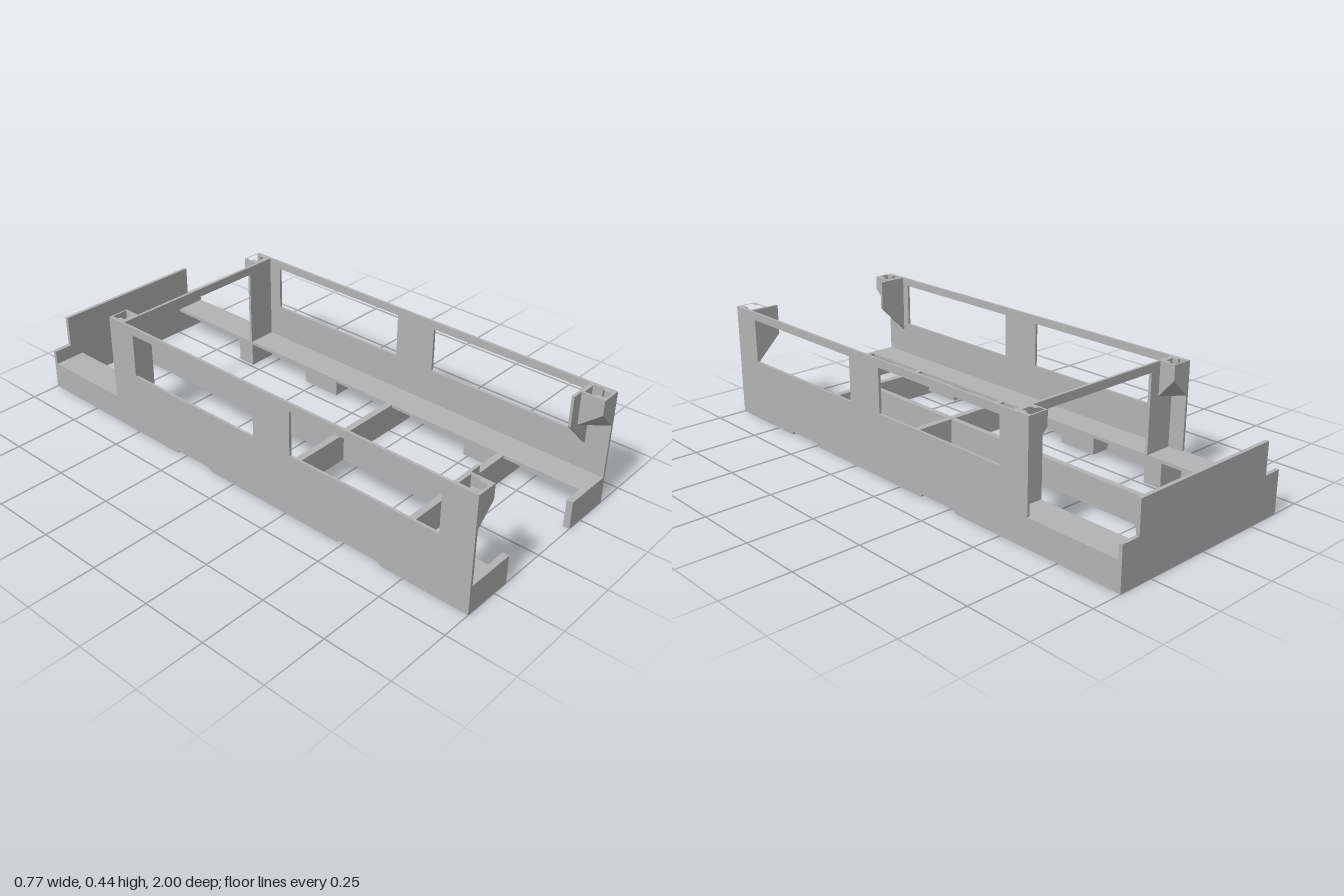
import * as THREE from 'three';
import { ConvexGeometry } from 'three/addons/geometries/ConvexGeometry.js';

const W = 0.385, T = 0.01, DECK = 0.107, TOP = 0.44, INNER = 0.262;

export function createModel() {
  const model = new THREE.Group();
  model.name = 'openFrameBody';
  const grey = new THREE.MeshStandardMaterial({ color: 0xb4b4b4, flatShading: true });
  grey.name = 'plain grey';

  const add = (name, geo) => {
    const m = new THREE.Mesh(geo, grey);
    m.name = name;
    model.add(m);
    return m;
  };
  const box = (name, x0, x1, y0, y1, z0, z1) => {
    const m = add(name, new THREE.BoxGeometry(Math.abs(x1 - x0), y1 - y0, Math.abs(z1 - z0)));
    m.position.set((x0 + x1) / 2, (y0 + y1) / 2, (z0 + z1) / 2);
    return m;
  };
  const poly = (pts, Type = THREE.Shape) => new Type(pts.map(p => new THREE.Vector2(...p)));
  const rect = (a, b, c, d) => [[a, c], [b, c], [b, d], [a, d]];
  const extrude = (shape, depth) =>
    new THREE.ExtrudeGeometry(shape, { depth, bevelEnabled: false, curveSegments: 10 });
  // slab lying flat, drawn in x and -z, rising from y0 to y1
  const slab = (name, shape, y0, y1) =>
    add(name, extrude(shape, y1 - y0).rotateX(-Math.PI / 2).translate(0, y0, 0));

  // side wall outline drawn in -z and y, with shallow notches above the mounting pads
  const padZ = [0.57, -0.2];
  const outline = [[-1, 0]];
  for (const z of padZ) outline.push([-z - 0.09, 0], [-z - 0.08, 0.012], [-z + 0.08, 0.012], [-z + 0.09, 0]);
  outline.push([1, 0], [1, DECK], [0.62, DECK], [0.62, TOP], [-1, TOP]);
  const wall = poly(outline);
  wall.holes.push(poly(rect(-0.875, -0.27, 0.24, 0.41), THREE.Path));
  wall.holes.push(poly(rect(-0.105, 0.495, 0.24, 0.41), THREE.Path));

  // corner socket: slotted top over a block with its free lower corner cut away
  const socket = (s, z0, z1, cutZ) => {
    const a = 0.304, b = 0.376, yLow = 0.314, yMid = 0.384;
    const backZ = cutZ === z0 ? z1 : z0;
    const top = poly(rect(s * a, s * b, -z0, -z1));
    const zs = z0 + (z1 - z0) * 0.52, c = s * 0.342;
    top.holes.push(poly([
      [c - 0.03, -z0 - 0.006], [c + 0.03, -z0 - 0.006], [c + 0.03, -zs], [c + 0.018, -zs],
      [c + 0.018, -z1 + 0.008], [c - 0.018, -z1 + 0.008], [c - 0.018, -zs], [c - 0.03, -zs]
    ], THREE.Path));
    slab('cornerSocket', top, yMid, TOP);
    const pts = [
      [a, yMid, z0], [b, yMid, z0], [a, yMid, z1], [b, yMid, z1],
      [b, yLow, z0], [b, yLow, z1], [a, yLow, backZ]
    ];
    add('socketSupport', new ConvexGeometry(pts.map(p => new THREE.Vector3(s * p[0], p[1], p[2]))));
  };

  for (const s of [1, -1]) {
    add('sideWall', extrude(wall, T).rotateY(Math.PI / 2).translate(s > 0 ? W - T : -W, 0, 0));
    box('sideDeck', s * INNER, s * (W - T), DECK - 0.012, DECK, -0.985, 0.98);
    box('frontTab', s * 0.184, s * (W - T), 0, DECK, 0.976, 1);

    // front corner: gusset panel with slanted lower edge
    const gusset = poly([[s * 0.26, 0.325], [s * 0.376, 0.21], [s * 0.376, TOP], [s * 0.26, TOP]]);
    add('frontGusset', extrude(gusset, T).translate(0, 0, 0.905));
    socket(s, 0.915, 1, 1);

    // rear post and the hollow foot under it
    box('rearPost', s * 0.26, s * (W - T), DECK, TOP, -0.558, -0.547);
    socket(s, -0.62, -0.558, -0.62);
    box('postFootInner', s * INNER, s * (INNER + T), 0, DECK - 0.012, -0.62, -0.547);
    for (const z of [-0.62, -0.557])
      box('postFootEnd', s * INNER, s * (W - T), 0, DECK - 0.012, z, z + T);

    // mounting pads under the decks, each with two screw holes
    for (const z of padZ) {
      const pad = poly(rect(s * 0.295, s * W, -z - 0.08, -z + 0.08));
      for (const d of [-0.045, 0.045]) {
        const hole = new THREE.Path();
        hole.absarc(s * 0.335, -z + d, 0.012, 0, Math.PI * 2, true);
        pad.holes.push(hole);
      }
      slab('mountingPad', pad, 0.012, 0.035);
      box('padBlock', s * 0.295, s * (W - T), 0.035, DECK - 0.012, z - 0.08, z + 0.08);
    }
  }

  // cross beams, spine and the bar between the rear posts
  for (const z of [0.17, 0.665])
    box('crossBeam', -W + T, W - T, 0, DECK - 0.012, z - 0.013, z + 0.013);
  for (const z of [0.17, 0.665])
    box('crossBeamTop', -INNER, INNER, DECK - 0.012, DECK, z - 0.013, z + 0.013);
  box('spine', -0.011, 0.011, 0, DECK - 0.001, -0.985, 0.655);
  box('rearTopBar', -0.26, 0.26, 0.408, TOP, -0.558, -0.547);

  // stepped rear plate
  add('rearPlate', extrude(poly([
    [-W, 0], [W, 0], [W, 0.16], [0.312, 0.16], [0.312, 0.28],
    [-0.312, 0.28], [-0.312, 0.16], [-W, 0.16]
  ]), 0.014).translate(0, 0, -1));

  return model;
}
